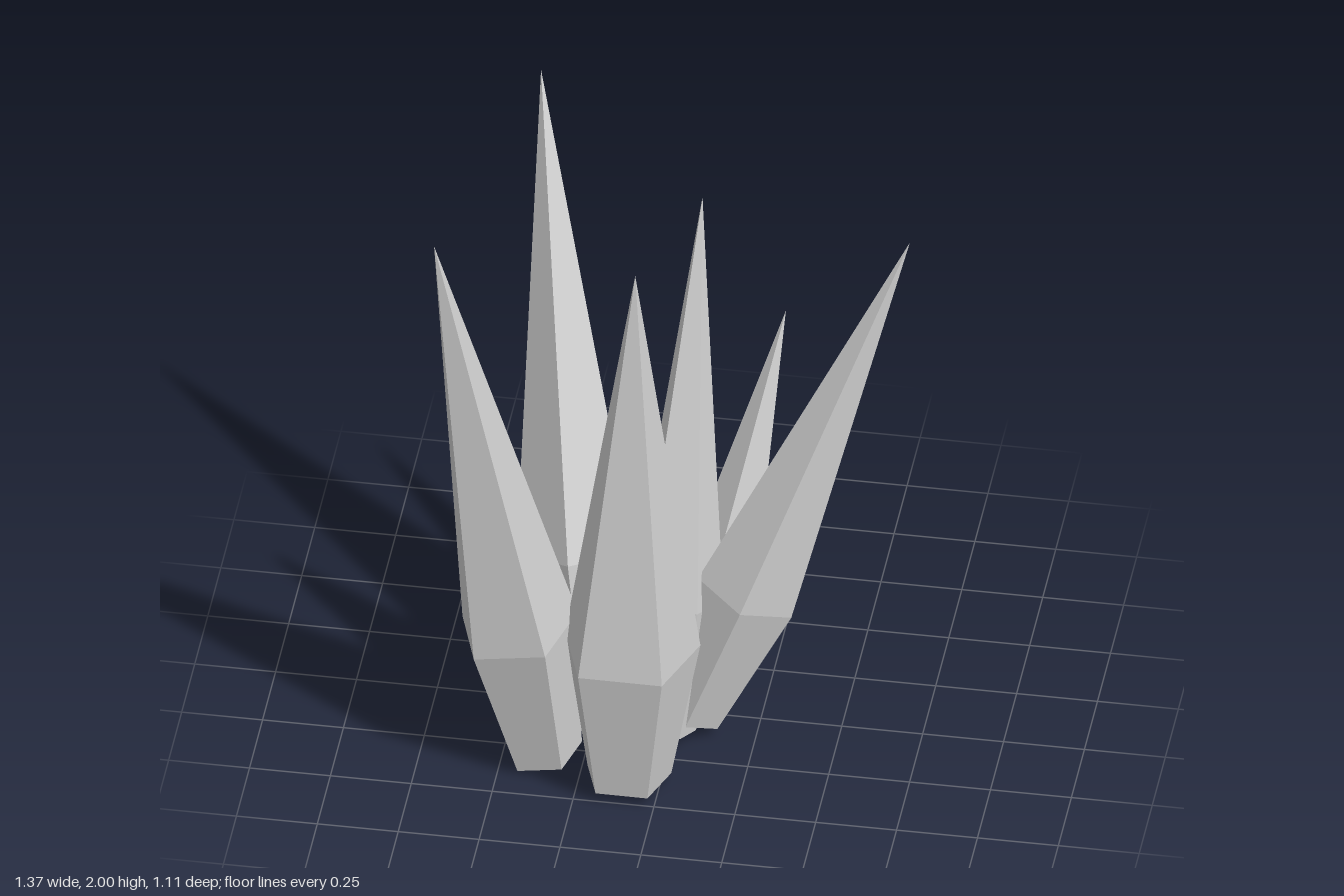
import * as THREE from 'three';

// Each crystal: tip, centre of the widest ring, height of the base centre,
// widest radius, direction of the first corner (degrees from +z towards +x)
const CRYSTALS = [
  { name: 'frontCrystal', tip: [-0.09, 1.86, 0.30], mid: [-0.097, 0.49, 0.372], baseY: 0.03, radius: 0.22, turn: 180 },
  { name: 'frontRightCrystal', tip: [-0.69, 2.0, 0.435], mid: [-0.449, 0.515, 0.337], baseY: 0.03, radius: 0.19, turn: 180 },
  { name: 'centreCrystal', tip: [0.005, 1.66, -0.40], mid: [-0.014, 0.43, 0.01], baseY: 0.031, radius: 0.15, turn: 180 },
  { name: 'backRightCrystal', tip: [-0.52, 1.965, -0.56], mid: [-0.333, 0.5, -0.12], baseY: 0.045, radius: 0.192, turn: 0 },
  { name: 'leftCrystal', tip: [0.68, 1.72, -0.19], mid: [0.208, 0.49, 0.01], baseY: 0.06, radius: 0.163, turn: 0 },
  { name: 'backLeftCrystal', tip: [0.25, 1.2, -0.48], mid: [0.09, 0.34, -0.225], baseY: 0.045, radius: 0.125, turn: 135 },
];
const SIDES = 5;
const BASE_RATIO = 0.62;

function makeCrystal({ name, tip, mid, baseY, radius, turn }, material) {
  const top = new THREE.Vector3(...tip);
  const middle = new THREE.Vector3(...mid);
  // The base lies on the straight line through the tip and the widest ring
  const base = top.clone().lerp(middle, (top.y - baseY) / (top.y - middle.y));

  const profile = [
    new THREE.Vector2(0, 0),
    new THREE.Vector2(radius * BASE_RATIO, 0),
    new THREE.Vector2(radius, base.distanceTo(middle)),
    new THREE.Vector2(0, base.distanceTo(top)),
  ];
  const geometry = new THREE.LatheGeometry(profile, SIDES, THREE.MathUtils.degToRad(turn));

  const crystal = new THREE.Mesh(geometry, material);
  crystal.name = name;
  crystal.position.copy(base);
  crystal.quaternion.setFromUnitVectors(
    new THREE.Vector3(0, 1, 0),
    top.clone().sub(base).normalize()
  );
  return crystal;
}

export function createModel() {
  const group = new THREE.Group();
  group.name = 'crystalCluster';
  const material = new THREE.MeshStandardMaterial({ color: 0xcccccc, flatShading: true });
  for (const spec of CRYSTALS) group.add(makeCrystal(spec, material));
  return group;
}
